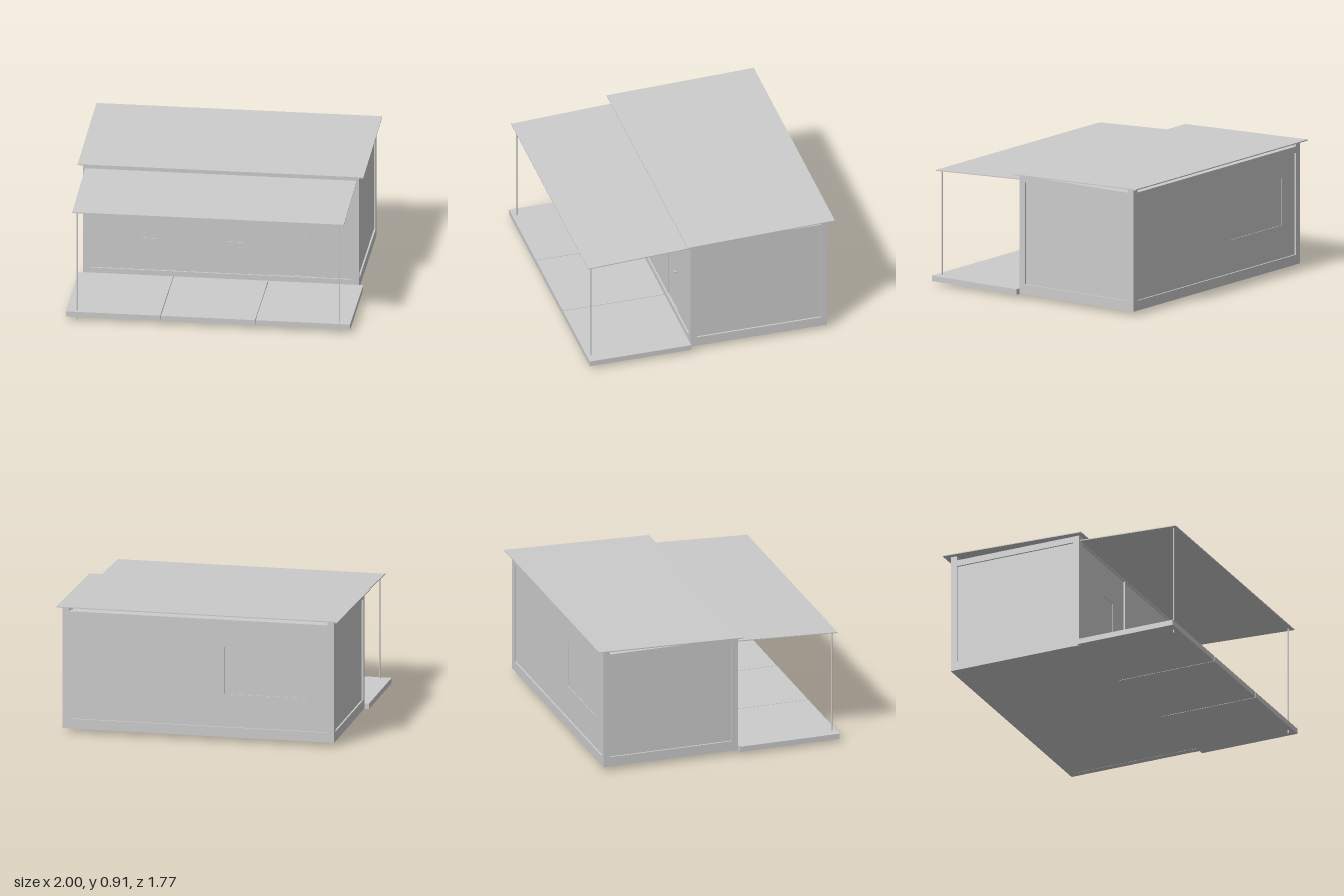
import * as THREE from 'three';

const mat = new THREE.MeshStandardMaterial({ color: 0xcccccc });

export function createModel() {
  const model = new THREE.Group();
  model.name = 'cabinWithVeranda';

  const add = (parent, name, geometry) => {
    const mesh = new THREE.Mesh(geometry, mat);
    mesh.name = name;
    parent.add(mesh);
    return mesh;
  };

  // Box given by its min and max on each axis
  const box = (parent, name, [x0, x1], [y0, y1], [z0, z1]) =>
    add(parent, name, new THREE.BoxGeometry(x1 - x0, y1 - y0, z1 - z0)
      .translate((x0 + x1) / 2, (y0 + y1) / 2, (z0 + z1) / 2));

  // Thin sheet that slopes evenly from its back edge to its front edge
  const slopedSheet = (name, halfWidth, zBack, yBack, zFront, yFront, thickness) => {
    const g = new THREE.BoxGeometry(halfWidth * 2, thickness, zFront - zBack);
    const p = g.attributes.position;
    const slope = (yFront - yBack) / (zFront - zBack);
    for (let i = 0; i < p.count; i++) p.setY(i, p.getY(i) + slope * p.getZ(i));
    g.computeVertexNormals();
    g.translate(0, (yBack + yFront) / 2, (zBack + zFront) / 2);
    add(model, name, g);
  };

  // Wall panel facing local +z, with rectangular openings filled by inset leaves
  const panel = (parent, name, x0, x1, face, openings = []) => {
    const rect = (C, a, b, c, d) => {
      const s = new C();
      s.moveTo(a, c); s.lineTo(b, c); s.lineTo(b, d); s.lineTo(a, d); s.closePath();
      return s;
    };
    const shape = rect(THREE.Shape, x0, x1, 0.1, 0.83);
    for (const o of openings) {
      shape.holes.push(rect(THREE.Path, ...o.x, ...o.y));
      box(parent, o.name, o.x, o.y, [face - 0.025, face - 0.005]);
    }
    add(parent, name, new THREE.ExtrudeGeometry(shape, { depth: 0.025, bevelEnabled: false })
      .translate(0, 0, face - 0.025));
  };

  const X = 0.965, ZF = 0.15, ZB = -0.84, ZC = (ZF + ZB) / 2, HALF = (ZF - ZB) / 2;
  const POST = 0.047, INSET = 0.012;

  // Floor and ceiling slabs
  box(model, 'floor', [-X + 0.01, X - 0.01], [0.031, 0.09], [ZB + 0.01, ZF - 0.01]);
  box(model, 'ceiling', [-X + 0.02, X - 0.02], [0.845, 0.86], [ZB + 0.02, ZF - 0.02]);

  // Structural frame: corner posts, sills and top beams
  const frame = new THREE.Group();
  frame.name = 'frame';
  model.add(frame);
  for (const s of [-1, 1]) {
    const xs = s < 0 ? [-X, -X + POST] : [X - POST, X];
    box(frame, 'frontCornerPost', xs, [0.028, 0.87], [ZF - POST, ZF]);
    box(frame, 'rearCornerPost', xs, [0.03, 0.904], [ZB, ZB + POST]);
    box(frame, 'sideSill', xs, [0.03, 0.1], [ZB + POST, ZF - POST]);
    box(frame, 'sideBeam', xs, [0.825, 0.87], [ZB + POST, ZF - POST]);
  }
  for (const zs of [[ZB, ZB + POST], [ZF - POST, ZF]]) {
    box(frame, 'longSill', [-X + POST, X - POST], [0.03, 0.1], zs);
    box(frame, 'longBeam', [-X + POST, X - POST], [0.825, 0.87], zs);
  }

  // Front wall: two panels either side of a slim post, with windows and a door
  const front = new THREE.Group();
  front.name = 'frontWall';
  model.add(front);
  const inner = X - POST + 0.002;
  panel(front, 'frontPanel', -inner, -0.222, ZF - INSET,
    [{ name: 'window', x: [-0.555, -0.4], y: [0.335, 0.585] }]);
  panel(front, 'frontPanel', -0.222, inner, ZF - INSET, [
    { name: 'window', x: [0.005, 0.165], y: [0.335, 0.585] },
    { name: 'door', x: [0.38, 0.625], y: [0.104, 0.68] },
  ]);
  box(front, 'middlePost', [-0.23, -0.215], [0.1, 0.83], [ZF - 0.04, ZF]);

  // Door fittings
  for (const y of [0.22, 0.6]) {
    const hinge = add(front, 'hinge', new THREE.CylinderGeometry(0.004, 0.004, 0.012, 10));
    hinge.position.set(0.394, y, ZF - 0.014);
  }
  box(front, 'handleStem', [0.586, 0.594], [0.406, 0.418], [ZF - 0.02, ZF + 0.004]);
  box(front, 'handleLever', [0.562, 0.594], [0.41, 0.415], [ZF, ZF + 0.006]);

  // Back wall with a wide window
  const back = new THREE.Group();
  back.name = 'backWall';
  back.rotation.y = Math.PI;
  model.add(back);
  panel(back, 'backPanel', -inner, inner, -ZB - INSET,
    [{ name: 'window', x: [0.18, 0.775], y: [0.335, 0.67] }]);

  // Plain side walls
  for (const s of [-1, 1]) {
    const side = new THREE.Group();
    side.name = s > 0 ? 'leftWall' : 'rightWall';
    side.position.z = ZC;
    side.rotation.y = s * Math.PI / 2;
    model.add(side);
    panel(side, 'sidePanel', -HALF + POST - 0.002, HALF - POST + 0.002, X - INSET);
  }

  // Main roof and the lower veranda canopy
  slopedSheet('roof', 1, -0.886, 0.908, 0.178, 0.877, 0.007);
  slopedSheet('canopy', 0.95, ZF, 0.838, 0.884, 0.804, 0.007);

  // Veranda deck in three sections
  const third = 0.995 * 2 / 3;
  for (let i = 0; i < 3; i++) {
    const x0 = -0.995 + i * third;
    box(model, 'deckSection', [x0 + (i > 0 ? 0.002 : 0), x0 + third - (i < 2 ? 0.002 : 0)],
      [0.024, 0.063], [ZF + 0.002, 0.886]);
  }

  // Slim canopy poles
  for (const s of [-1, 1]) {
    const pole = add(model, 'canopyPole', new THREE.CylinderGeometry(0.005, 0.005, 0.804, 16));
    pole.position.set(s * 0.917, 0.402, 0.855);
  }

  return model;
}
